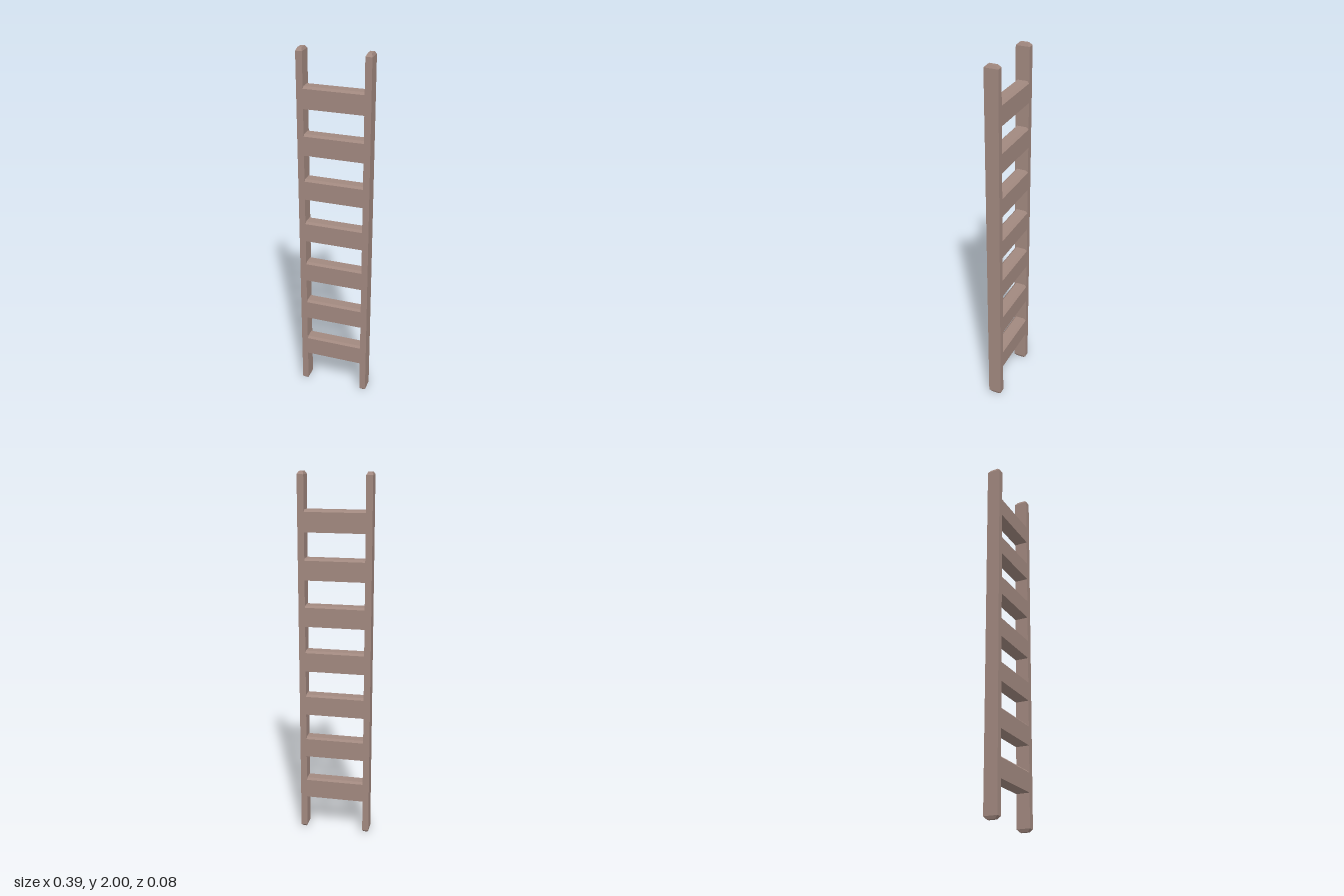
import * as THREE from 'three';

const wood = new THREE.MeshStandardMaterial({ color: 0xa1887f, flatShading: true });

// Closed rectangular loft through rows of [y, halfWidth, halfDepth], bottom to top
function loftBox(rows) {
  const geo = new THREE.BoxGeometry(2, 1, 2, 1, rows.length - 1, 1);
  const pos = geo.attributes.position;
  for (let i = 0; i < pos.count; i++) {
    const row = Math.round((pos.getY(i) + 0.5) * (rows.length - 1));
    const [y, w, d] = rows[row];
    pos.setXYZ(i, pos.getX(i) * w, y, pos.getZ(i) * d);
  }
  geo.computeVertexNormals();
  return geo;
}

function addPart(group, name, geo, x, y) {
  const mesh = new THREE.Mesh(geo, wood);
  mesh.name = name;
  mesh.position.set(x, y, 0);
  group.add(mesh);
}

export function createModel() {
  const ladder = new THREE.Group();
  ladder.name = 'ladder';

  // Side rails with chamfered ends
  const railGeo = loftBox([
    [0, 0.0105, 0.022],
    [0.015, 0.0175, 0.0375],
    [1.985, 0.0175, 0.0375],
    [2, 0.0105, 0.022],
  ]);
  addPart(ladder, 'leftRail', railGeo, 0.1775, 0);
  addPart(ladder, 'rightRail', railGeo, -0.1775, 0);

  // Rungs flush with the rails, chamfered along the top edges only
  const rungGeo = loftBox([
    [0, 0.16, 0.0375],
    [0.104, 0.16, 0.0375],
    [0.115, 0.16, 0.026],
  ]);
  for (let i = 0; i < 7; i++) addPart(ladder, `rung${i + 1}`, rungGeo, 0, 0.195 + i * 0.25);

  return ladder;
}
